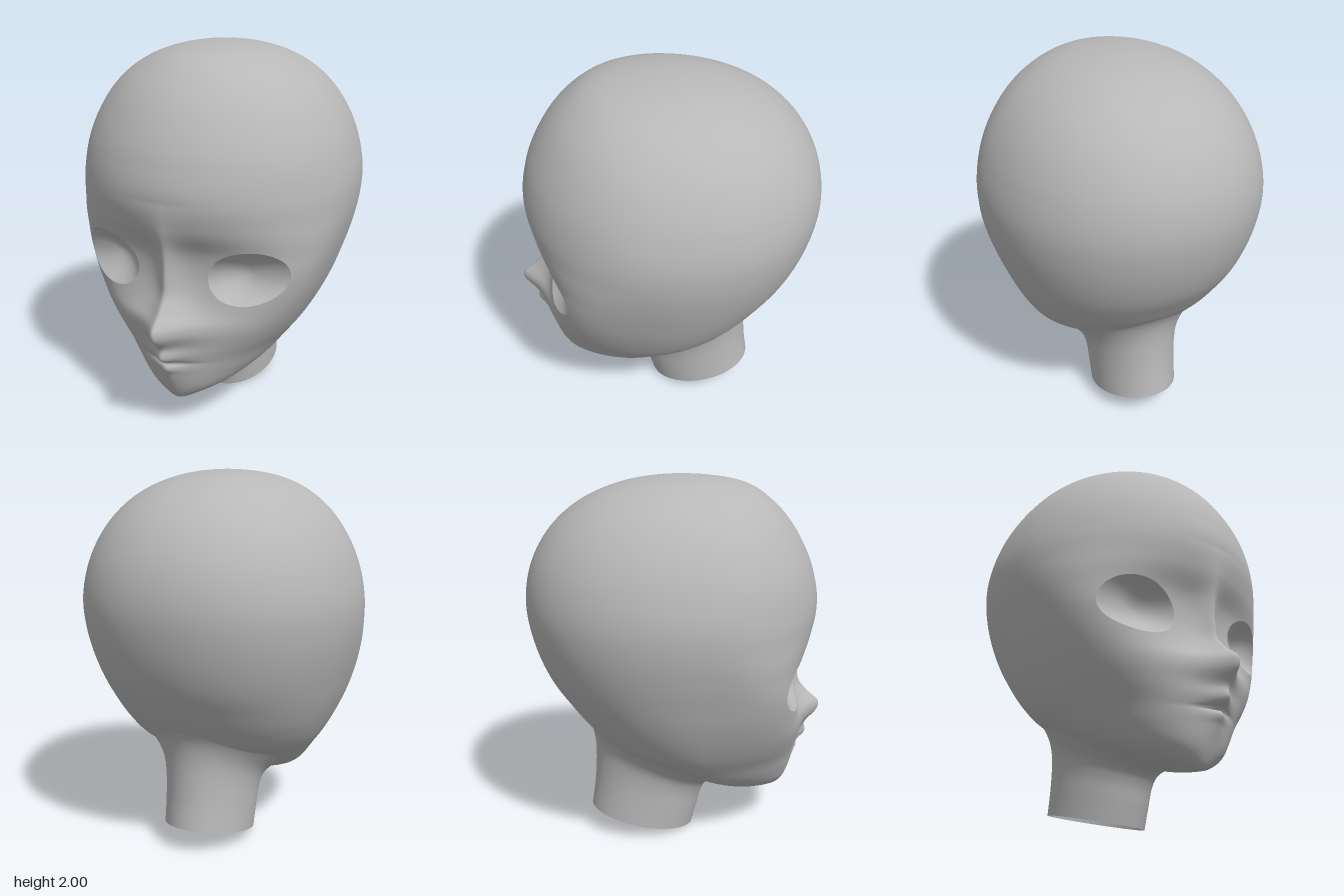
import * as THREE from 'three';

const grey = new THREE.MeshStandardMaterial({ color: 0xb8b8b8, side: THREE.DoubleSide });
grey.name = 'plainGrey';

// Smooth interpolation of table rows [key, ...values], keys ascending
function table(rows, toKey = (k) => k) {
  const K = rows.map((r) => toKey(r[0]));
  const last = rows.length - 1;
  const secant = (i, c) => (rows[i + 1][c] - rows[i][c]) / (K[i + 1] - K[i]);
  const slope = (i, c) => {
    if (i === 0) return secant(0, c);
    if (i === last) return secant(last - 1, c);
    const h0 = K[i] - K[i - 1], h1 = K[i + 1] - K[i];
    return (h1 * secant(i - 1, c) + h0 * secant(i, c)) / (h0 + h1);
  };
  return (key) => {
    const k = THREE.MathUtils.clamp(toKey(key), K[0], K[last]);
    let i = 0;
    while (i < last - 1 && k > K[i + 1]) i++;
    const h = K[i + 1] - K[i], t = (k - K[i]) / h, t2 = t * t, t3 = t2 * t;
    return rows[i].slice(1).map((v, n) =>
      v * (2 * t3 - 3 * t2 + 1) + rows[i + 1][n + 1] * (3 * t2 - 2 * t3) +
      h * (slope(i, n + 1) * (t3 - 2 * t2 + t) + slope(i + 1, n + 1) * (t3 - t2)));
  };
}

// Closed loops of points joined into a surface; drop(a, b, c) removes triangles
function loops(rows, cols, point, drop = () => false) {
  const pos = [], index = [];
  for (let j = 0; j <= rows; j++) for (let i = 0; i < cols; i++) pos.push(...point(j / rows, i / cols, j * cols + i));
  const add = (a, b, c) => { if (!drop(a, b, c)) index.push(a, b, c); };
  for (let j = 0; j < rows; j++) {
    for (let i = 0; i < cols; i++) {
      const a = j * cols + i, b = j * cols + ((i + 1) % cols);
      add(a, b, b + cols);
      add(a, b + cols, a + cols);
    }
  }
  const geo = new THREE.BufferGeometry();
  geo.setAttribute('position', new THREE.Float32BufferAttribute(pos, 3));
  geo.setIndex(index);
  geo.computeVertexNormals();
  return geo;
}

function part(name, geo) {
  const mesh = new THREE.Mesh(geo, grey);
  mesh.name = name;
  return mesh;
}

const CHIN = 0.19, TOP = 2;
const yToAngle = (y) => Math.acos(THREE.MathUtils.clamp(1 - (2 * (y - CHIN)) / (TOP - CHIN), -1, 1));

// Head sections: y, front z, back z, half width, z of widest point, front squareness
const section = table([
  [0.19, 0.565, 0.565, 0, 0.565, 1.9],
  [0.22, 0.60, 0.42, 0.10, 0.50, 1.9],
  [0.295, 0.635, 0.14, 0.26, 0.33, 1.9],
  [0.38, 0.65, -0.03, 0.365, 0.20, 1.95],
  [0.485, 0.66, -0.25, 0.45, 0.11, 2.1],
  [0.56, 0.655, -0.40, 0.505, 0.07, 2.35],
  [0.68, 0.635, -0.53, 0.572, 0.03, 2.8],
  [0.81, 0.61, -0.63, 0.63, 0.02, 3.1],
  [0.92, 0.60, -0.705, 0.668, 0.02, 3.15],
  [1.05, 0.62, -0.765, 0.707, 0.02, 2.75],
  [1.185, 0.695, -0.805, 0.735, 0.02, 2.2],
  [1.32, 0.743, -0.825, 0.743, 0.02, 1.97],
  [1.5, 0.72, -0.805, 0.71, 0.02, 1.95],
  [1.685, 0.64, -0.72, 0.627, 0.02, 1.95],
  [1.86, 0.50, -0.54, 0.47, 0.02, 2],
  [1.965, 0.32, -0.29, 0.26, 0.02, 2],
  [2, 0, 0, 0, 0, 2],
], yToAngle);

// Nose and lips: y, height over the face, spread
const relief = table([
  [0.19, 0, 0.08], [0.295, 0.005, 0.08], [0.38, 0.028, 0.07], [0.432, 0.045, 0.06],
  [0.445, 0.035, 0.06], [0.454, 0.01, 0.06], [0.464, 0.045, 0.06], [0.485, 0.08, 0.065],
  [0.56, 0.095, 0.09], [0.645, 0.185, 0.11], [0.68, 0.195, 0.11], [0.75, 0.14, 0.085],
  [0.81, 0.1, 0.07], [0.92, 0.09, 0.06], [1.05, 0.075, 0.075], [1.185, 0.035, 0.15], [1.32, 0, 0.2],
]);

// z of the face at x, y
function faceZ(x, y, s = section(y)) {
  const [front, , w, mid, n] = s;
  const q = w > 0 ? Math.min(1, Math.abs(x) / w) : 1;
  const [h, spread] = relief(y);
  return mid + (front - mid) * Math.pow(1 - Math.pow(q, n), 1 / n)
    + h * Math.exp((0.02 - Math.hypot(x, 0.02)) / spread) * Math.sqrt(1 - q * q);
}

// Tilted oval eye outline, given for the +x eye
const EYE = { x: 0.383, y: 0.935, a: 0.19, b: 0.142, tilt: 0.2, n: 2.05 };
function eyeRadius(angle) {
  const c = Math.abs(Math.cos(angle - EYE.tilt)) / EYE.a, s = Math.abs(Math.sin(angle - EYE.tilt)) / EYE.b;
  return Math.pow(c ** EYE.n + s ** EYE.n, -1 / EYE.n);
}

// Hollow shell, open at the eyes and into the neck
function createHead() {
  const open = new Set();
  const geo = loops(200, 240, (v, u, id) => {
    let y = CHIN + ((TOP - CHIN) * (1 - Math.cos(Math.PI * v))) / 2;
    const a = 2 * Math.PI * u - 0.55 * Math.sin(2 * Math.PI * u);
    const s = section(y);
    let x = s[2] * Math.sin(a);
    if (Math.cos(a) < 0) {
      const z = s[3] - (s[3] - s[1]) * Math.pow(1 - Math.abs(Math.sin(a)) ** 2.12, 1 / 2.12);
      if (y < 0.6 && Math.hypot(x / 0.22, (z + 0.17) / 0.25) < 1) open.add(id);
      return [x, y, z];
    }
    // Points within an eye move out to its rim
    const dx = Math.abs(x) - EYE.x, dy = y - EYE.y;
    const r = Math.hypot(dx, dy), rim = eyeRadius(Math.atan2(dy, dx));
    if (r < rim) {
      open.add(id);
      x = Math.sign(x) * (EYE.x + (dx * rim) / (r || 1));
      y = EYE.y + (dy * rim) / (r || 1);
      return [x, y, faceZ(x, y)];
    }
    return [x, y, faceZ(x, y, s)];
  }, (a, b, c) => open.has(a) && open.has(b) && open.has(c));
  return part('head', geo);
}

// Hollow bowl behind each eye opening
function createSocket(side) {
  const geo = loops(16, 72, (v, u) => {
    const s = 1 - v, angle = side * u * 2 * Math.PI, r = eyeRadius(angle);
    const x = EYE.x + r * s * Math.cos(angle), y = EYE.y + r * s * Math.sin(angle);
    const rimZ = faceZ(EYE.x + r * Math.cos(angle), EYE.y + r * Math.sin(angle));
    const z = THREE.MathUtils.lerp(faceZ(EYE.x, EYE.y), rimZ, s * s) - 0.09 * (1 - s * s);
    return [side * x, y, z];
  });
  return part(side > 0 ? 'leftEyeSocket' : 'rightEyeSocket', geo);
}

// Open neck of slanted ovals flaring into the head: step, front z, front y, back z, back y, half width
function createNeck() {
  const ring = table([
    [0, 0.07, 0, -0.51, 0.14, 0.232],
    [1, 0.10, 0.11, -0.49, 0.28, 0.236],
    [2, 0.125, 0.20, -0.48, 0.42, 0.243],
    [3, 0.165, 0.26, -0.482, 0.53, 0.265],
    [4, 0.245, 0.295, -0.50, 0.62, 0.32],
    [5, 0.32, 0.36, -0.54, 0.70, 0.395],
    [6, 0.40, 0.42, -0.585, 0.78, 0.46],
  ]);
  const geo = loops(42, 96, (v, u) => {
    const [fz, fy, bz, by, w] = ring(v * 6);
    const a = u * 2 * Math.PI, t = (1 - Math.cos(a)) / 2;
    return [w * Math.sin(a), fy + (by - fy) * t, fz + (bz - fz) * t];
  });
  return part('neck', geo);
}

export function createModel() {
  const group = new THREE.Group();
  group.name = 'dollHead';
  group.add(createHead(), createNeck(), createSocket(1), createSocket(-1));
  return group;
}
